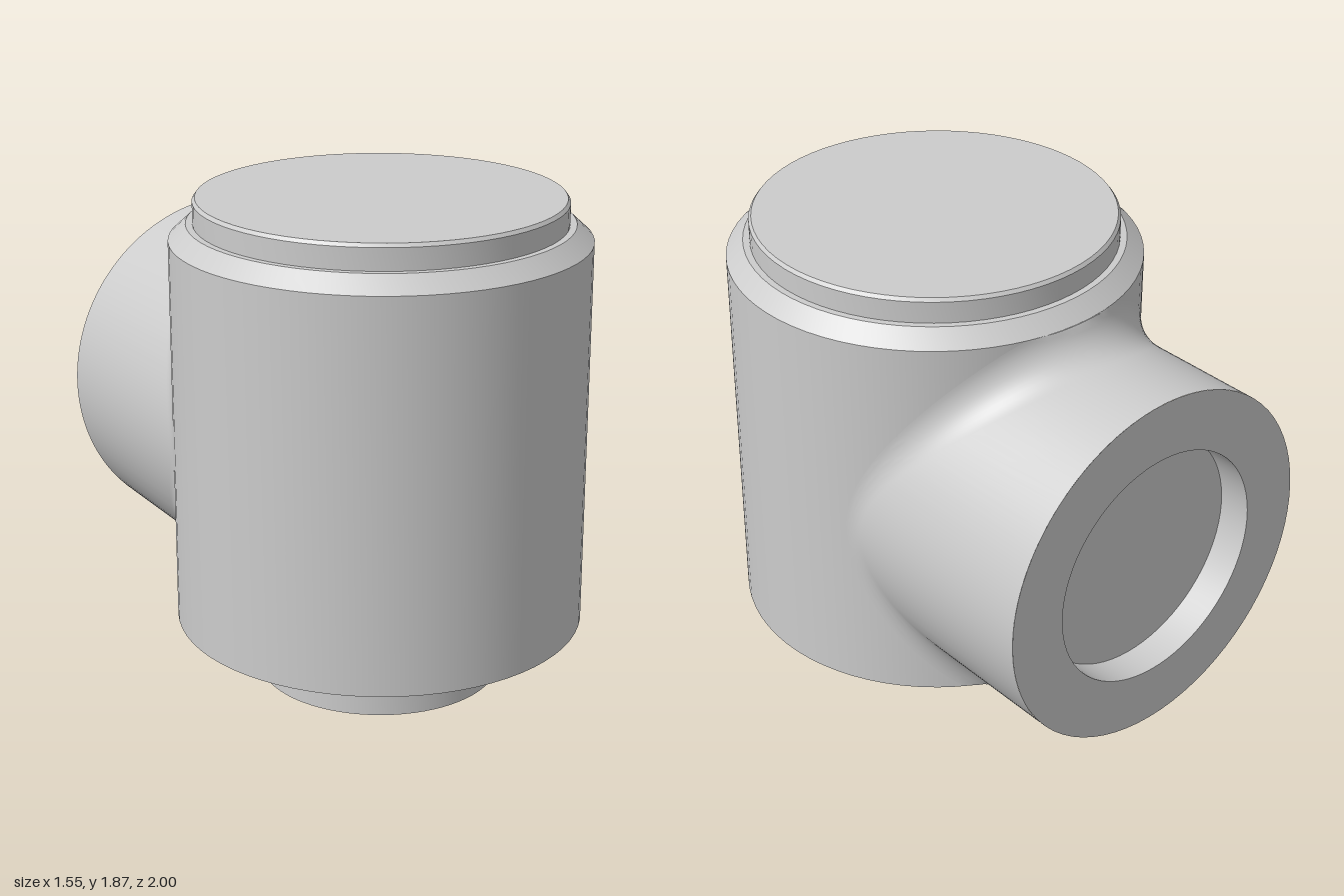
import * as THREE from 'three';
import { toCreasedNormals } from 'three/addons/utils/BufferGeometryUtils.js';
import { ParametricGeometry } from 'three/addons/geometries/ParametricGeometry.js';

const BODY_R = 0.775, BODY_Z = 0.225, BODY_BOTTOM = 0.235, BODY_TOP = 1.71;
const PIPE_R = 0.69, PIPE_Y = 0.91, FILLET = 0.15;

const material = new THREE.MeshStandardMaterial({ color: 0xcccccc });

function addPart(group, name, geometry) {
  const mesh = new THREE.Mesh(toCreasedNormals(geometry, 0.5), material);
  mesh.name = name;
  group.add(mesh);
  return mesh;
}

function turned(points) {
  return new THREE.LatheGeometry(points.map(([r, y]) => new THREE.Vector2(r, y)), 72);
}

// z of a vertical cylinder's rear wall at a given x
const rearWall = (r, x) => BODY_Z - Math.sqrt(r * r - x * x);

// centre of the ball rolling in the corner between pipe and body
function ballCentre(angle) {
  const x = (PIPE_R + FILLET) * Math.cos(angle);
  const y = PIPE_Y + (PIPE_R + FILLET) * Math.sin(angle);
  return new THREE.Vector3(x, y, rearWall(BODY_R + FILLET, x));
}

export function createModel() {
  const group = new THREE.Group();
  group.name = 'pipeFitting';

  // Upright body with chamfered shoulder
  addPart(group, 'body', turned([
    [0, BODY_BOTTOM], [BODY_R, BODY_BOTTOM], [BODY_R, BODY_TOP], [0.71, 1.77], [0, 1.77],
  ])).position.z = BODY_Z;

  // Raised lid with a fine bevel
  addPart(group, 'lid', turned([
    [0.685, 1.77], [0.685, 1.852], [0.675, 1.865], [0, 1.865],
  ])).position.z = BODY_Z;

  // Narrow stem below
  addPart(group, 'stem', turned([
    [0, 0], [0.46, 0], [0.46, BODY_BOTTOM],
  ])).position.z = BODY_Z;

  // Rear pipe mouth with a shallow round recess
  const mouth = turned([[PIPE_R, 1], [0.46, 1], [0.46, 0.87], [0, 0.87]]);
  mouth.rotateX(-Math.PI / 2);
  mouth.translate(0, PIPE_Y, 0);
  addPart(group, 'pipeMouth', mouth);

  // Rear pipe wall, flowing into the body through a rolling-ball fillet
  const rows = 13;
  addPart(group, 'filletedPipe', new ParametricGeometry((u, v, target) => {
    const angle = u * Math.PI * 2;
    const c = ballCentre(angle);
    const row = Math.round(v * rows);
    const toPipe = new THREE.Vector3(-Math.cos(angle), -Math.sin(angle), 0);
    if (row <= 1) {
      target.copy(c).addScaledVector(toPipe, FILLET);
      if (row === 0) target.z = -1;
      return;
    }
    const toBody = new THREE.Vector3(-c.x, 0, BODY_Z - c.z).normalize();
    toPipe.lerp(toBody, (row - 1) / (rows - 1)).normalize();
    target.copy(c).addScaledVector(toPipe, FILLET);
    target.y = THREE.MathUtils.clamp(target.y, BODY_BOTTOM, BODY_TOP);
  }, 128, rows));

  // Straight pipe end running to the body wall, showing at the underside
  addPart(group, 'pipeRoot', new ParametricGeometry((u, v, target) => {
    const angle = u * Math.PI * 2;
    const row = Math.round(v * 2);
    const x = PIPE_R * Math.cos(angle);
    let y = PIPE_Y + PIPE_R * Math.sin(angle);
    if (row === 2) y = Math.max(y, BODY_BOTTOM);
    target.set(x, y, row === 0 ? ballCentre(angle).z : rearWall(BODY_R, x));
  }, 128, 2));

  return group;
}
